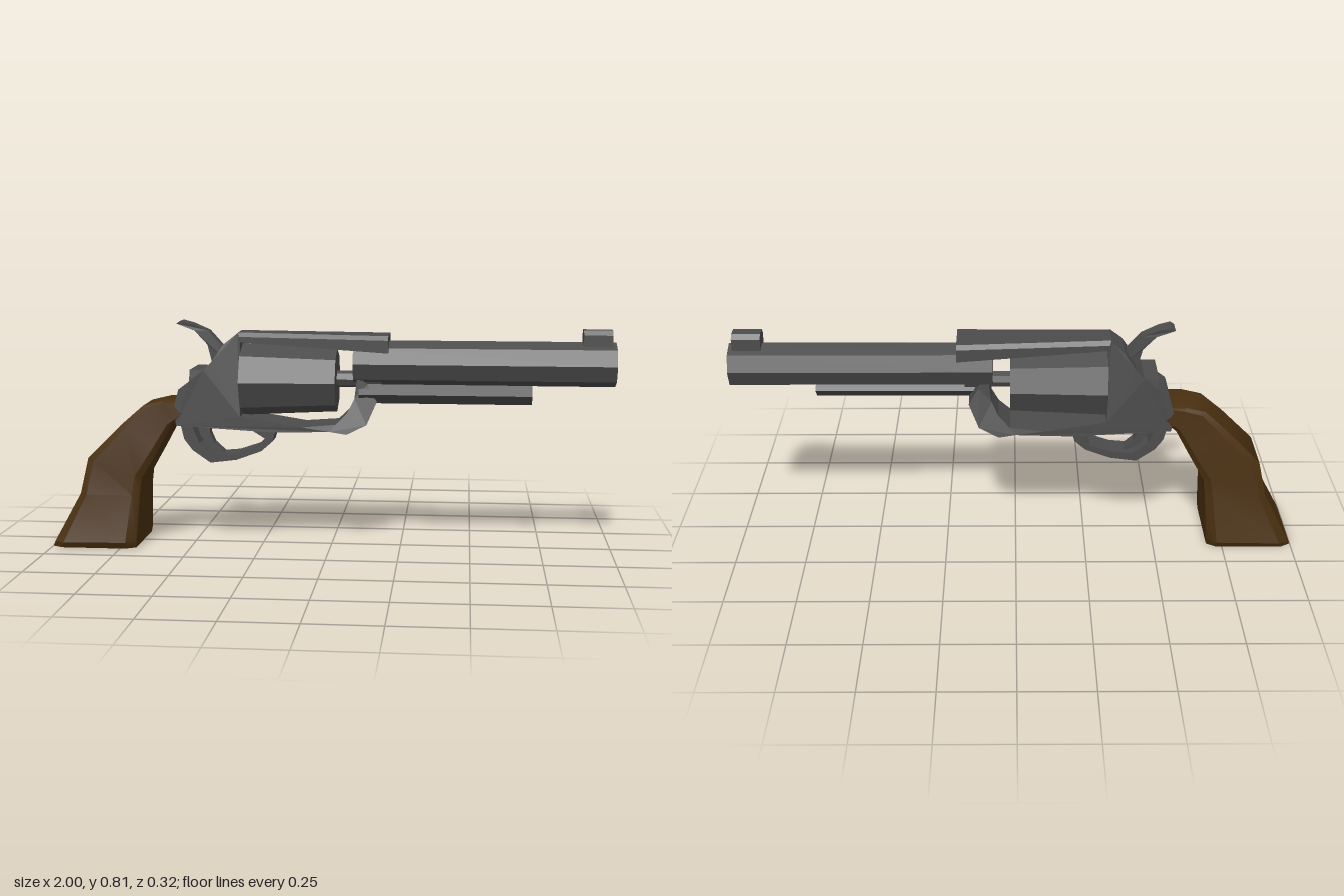
import * as THREE from 'three';
import { toCreasedNormals } from 'three/addons/utils/BufferGeometryUtils.js';

const metal = new THREE.MeshStandardMaterial({ color: 0x4c4c4c, flatShading: true });
const wood = new THREE.MeshStandardMaterial({ color: 0x4a3010 });

function part(group, name, geometry, material = metal) {
  const mesh = new THREE.Mesh(geometry, material);
  mesh.name = name;
  group.add(mesh);
  return mesh;
}

// Prism along x from x0 to x1, corners on the axes
function rod(x0, x1, y, z, rBack, rFront, sides) {
  return new THREE.CylinderGeometry(rFront, rBack, x1 - x0, sides)
    .rotateZ(-Math.PI / 2)
    .translate((x0 + x1) / 2, y, z);
}

// Side outline extruded across z; half(x, y) gives the half width
function plate(points, half) {
  const shape = new THREE.Shape(points.map(([x, y]) => new THREE.Vector2(x, y)));
  const g = new THREE.ExtrudeGeometry(shape, { depth: 2, bevelEnabled: false });
  g.translate(0, 0, -1);
  const p = g.attributes.position;
  for (let i = 0; i < p.count; i++) p.setZ(i, p.getZ(i) * half(p.getX(i), p.getY(i)));
  g.computeVertexNormals();
  return g;
}

// Skin over closed rings, capped at both ends
function loft(rings) {
  const n = rings[0].length, index = [];
  for (let r = 0; r < rings.length - 1; r++) {
    for (let i = 0; i < n; i++) {
      const a = r * n + i, b = r * n + (i + 1) % n;
      index.push(a, b, a + n, b, b + n, a + n);
    }
  }
  const end = (rings.length - 1) * n;
  for (let i = 1; i < n - 1; i++) index.push(0, i + 1, i, end, end + i, end + i + 1);
  const g = new THREE.BufferGeometry();
  g.setAttribute('position', new THREE.Float32BufferAttribute(rings.flat(2), 3));
  g.setIndex(index);
  g.computeVertexNormals();
  return g;
}

const lerp = THREE.MathUtils.lerp;
const ramp = (v, a, b) => THREE.MathUtils.clamp((v - a) / (b - a), 0, 1);

export function createModel() {
  const model = new THREE.Group();
  model.name = 'revolver';

  // Barrel, drum and rods
  part(model, 'barrel', rod(0.08, 1, 0.665, 0, 0.079, 0.079, 8));
  part(model, 'drum', rod(-0.32, 0.02, 0.6, 0, 0.13, 0.113, 8));
  part(model, 'drumPin', rod(0, 0.18, 0.605, 0, 0.03, 0.03, 8));
  part(model, 'loadingRod', rod(0.1, 0.71, 0.557, 0.035, 0.034, 0.034, 4));

  // Frame: rear body, lower rail and the hook rising to the barrel
  part(model, 'frame', plate([
    [-0.55, 0.44], [-0.2, 0.42], [0, 0.425], [0.06, 0.416], [0.13, 0.45], [0.165, 0.53],
    [0.13, 0.59], [0.095, 0.62], [0.085, 0.54], [0.06, 0.49], [0.02, 0.45], [-0.1, 0.44],
    [-0.32, 0.475], [-0.32, 0.74], [-0.33, 0.77], [-0.38, 0.73], [-0.42, 0.67],
    [-0.45, 0.64], [-0.5, 0.64], [-0.5, 0.6], [-0.54, 0.57], [-0.56, 0.5],
  ], (x, y) => x > -0.05
    ? lerp(0.088, 0.048, ramp(y, 0.42, 0.56))
    : lerp(0.088, 0.06, ramp(y, 0.62, 0.77))));

  // Top strap, wider toward the front, with bevelled upper edges
  part(model, 'topStrap', loft([[-0.33, 0.772, 0.738, 0.06], [0.205, 0.765, 0.705, 0.083]]
    .map(([x, top, bottom, w]) => [
      [x, top, -w + 0.012], [x, top, w - 0.012], [x, top - 0.015, w],
      [x, bottom, w], [x, bottom, -w], [x, top - 0.015, -w],
    ])));

  // Front sight with bevelled top
  part(model, 'frontSight', loft([0.885, 0.985].map((x) => [
    [x, 0.787, -0.022], [x, 0.787, 0.022], [x, 0.77, 0.035],
    [x, 0.72, 0.035], [x, 0.72, -0.035], [x, 0.77, -0.035],
  ])));

  // Hammer, flaring at the thumb tip
  part(model, 'hammer', plate([
    [-0.555, 0.8], [-0.49, 0.775], [-0.445, 0.725], [-0.425, 0.64], [-0.37, 0.66],
    [-0.39, 0.72], [-0.44, 0.775], [-0.5, 0.8], [-0.54, 0.81],
  ], (x) => lerp(0.032, 0.018, ramp(x, -0.52, -0.42))));

  // Trigger guard and trigger
  part(model, 'triggerGuard', plate([
    [-0.545, 0.45], [-0.53, 0.385], [-0.5, 0.345], [-0.435, 0.3], [-0.34, 0.312],
    [-0.25, 0.345], [-0.21, 0.38], [-0.195, 0.43], [-0.3, 0.43], [-0.235, 0.39],
    [-0.265, 0.362], [-0.34, 0.337], [-0.42, 0.33], [-0.475, 0.37], [-0.5, 0.43],
  ], () => 0.046));
  part(model, 'trigger', plate([
    [-0.49, 0.45], [-0.475, 0.395], [-0.445, 0.355], [-0.395, 0.33], [-0.39, 0.338],
    [-0.425, 0.37], [-0.44, 0.405], [-0.44, 0.45],
  ], () => 0.022));

  // Grip sections: back x, y, front x, y, half width
  const sections = [
    [-1, 0, -0.695, 0, 0.15], [-0.99, 0.02, -0.692, 0.025, 0.162],
    [-0.9, 0.19, -0.683, 0.19, 0.124], [-0.87, 0.32, -0.675, 0.25, 0.118],
    [-0.75, 0.44, -0.62, 0.345, 0.105], [-0.67, 0.51, -0.57, 0.435, 0.092],
    [-0.6, 0.527, -0.54, 0.46, 0.09], [-0.53, 0.53, -0.508, 0.495, 0.085],
  ];
  const corners = [[1, 0.12], [1, 0.88], [0.85, 1], [-0.85, 1], [-1, 0.88], [-1, 0.12], [-0.85, 0], [0.85, 0]];
  const grip = loft(sections.map(([bx, by, fx, fy, w]) =>
    corners.map(([u, v]) => [lerp(bx, fx, v), lerp(by, fy, v), u * w])));
  part(model, 'grip', toCreasedNormals(grip, 0.6), wood);

  return model;
}
